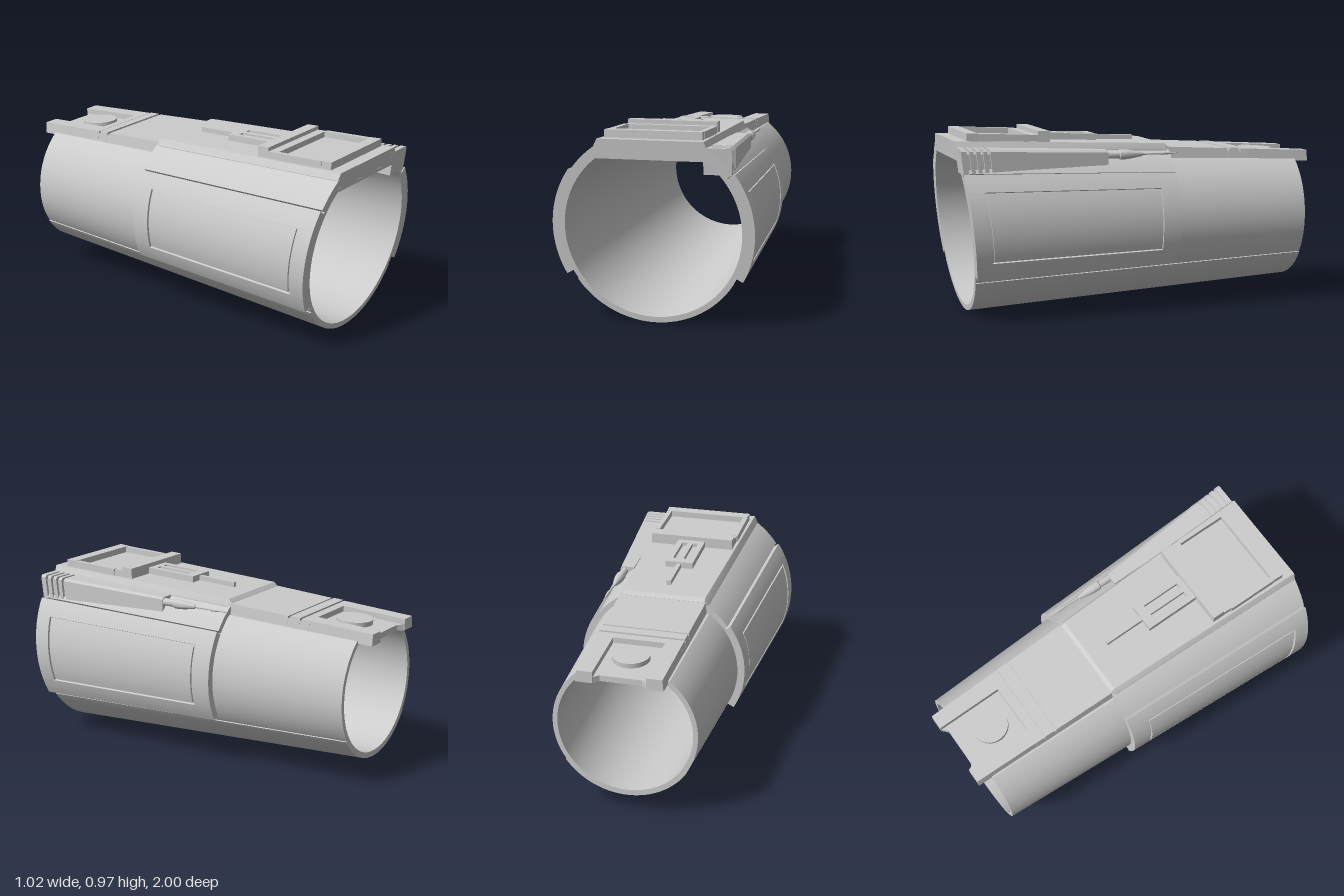
import * as THREE from 'three';
import { toCreasedNormals } from 'three/addons/utils/BufferGeometryUtils.js';

const CY = 0.475, FRONT = 0.953, STEP = -0.17, BACK = -0.92;
const lerp = THREE.MathUtils.lerp;
const material = new THREE.MeshStandardMaterial({ color: 0xcccccc });

// Skin a row of equal convex loops; capped at the ends unless closed into a ring
function loft(sections, closed = false) {
  const tris = [], n = sections[0].length, m = sections.length;
  for (let i = 0; i < (closed ? m : m - 1); i++) {
    const a = sections[i], b = sections[(i + 1) % m];
    for (let j = 0; j < n; j++) {
      const k = (j + 1) % n;
      tris.push([a[j], a[k], b[k]], [a[j], b[k], b[j]]);
    }
  }
  if (!closed) {
    const a = sections[0], b = sections[m - 1];
    for (let j = 1; j < n - 1; j++) tris.push([a[0], a[j + 1], a[j]], [b[0], b[j], b[j + 1]]);
  }
  // Turn the faces outwards
  let volume = 0;
  const [p, q, r] = [new THREE.Vector3(), new THREE.Vector3(), new THREE.Vector3()];
  for (const t of tris) volume += p.fromArray(t[0]).dot(q.fromArray(t[1]).cross(r.fromArray(t[2])));
  if (volume < 0) tris.forEach(t => t.reverse());
  const geo = new THREE.BufferGeometry();
  geo.setAttribute('position', new THREE.Float32BufferAttribute(tris.flat(2), 3));
  return toCreasedNormals(geo, 0.45);
}

// Point on the tapered tube; angle runs from straight up, the front end leans forward
const along = z => (z - BACK) / (FRONT - BACK);
function onTube(angle, z, r, side = 1) {
  const y = CY + r * Math.cos(angle);
  const lean = Math.max(0, (z - STEP) / (FRONT - STEP)) * 0.1;
  return [side * r * Math.sin(angle), y, z + (y - CY) * lean];
}
const outerR = z => lerp(0.375, 0.471, along(z));
const innerR = z => lerp(0.35, 0.447, along(z));

// Curved plate on the tube between two angles and two depths
function shell(a0, a1, z0, z1, lift, side, base = -0.01) {
  const sections = [], n = Math.max(2, Math.ceil((a1 - a0) / 0.05));
  for (let i = 0; i <= n; i++) {
    const a = lerp(a0, a1, i / n);
    sections.push([[z0, lift], [z1, lift], [z1, base], [z0, base]]
      .map(([z, o]) => onTube(a, z, outerR(z) + o, side)));
  }
  return loft(sections);
}

// Top surfaces of the two deck plates, and the tube's flat roof below them
const deckY = z => 0.886 + 0.039 * z;
const tailY = z => 0.869 + 0.054 * z;
const roofY = z => 0.758 + 0.0406 * (z - BACK);

// Block lying on a sloped surface: half width w0 at z0 and w1 at z1
function slab(surface, cx, w0, w1, z0, z1, lo, hi) {
  return loft([[z0, w0], [z1, w1]].map(([z, w]) => {
    const y = surface(z);
    return [[cx - w, y + lo, z], [cx + w, y + lo, z], [cx + w, y + hi, z], [cx - w, y + hi, z]];
  }));
}

export function createModel() {
  const model = new THREE.Group();
  const group = name => {
    const g = new THREE.Group();
    g.name = name;
    model.add(g);
    return g;
  };
  const add = (parent, name, geo) => {
    const mesh = new THREE.Mesh(geo, material);
    mesh.name = name;
    parent.add(mesh);
    return mesh;
  };

  // Hollow tapered sleeve with a flat roof
  const rings = [], corner = 0.664, N = 120;
  for (let i = 0; i <= N; i++) {
    const a = lerp(corner, Math.PI * 2 - corner, i / N);
    rings.push([
      ...[FRONT, STEP, BACK].map(z => onTube(a, z, outerR(z))),
      ...[BACK, STEP, FRONT].map(z => onTube(a, z, innerR(z)))]);
  }
  add(model, 'sleeve', loft(rings, true));
  add(model, 'lowerShell', shell(2.17, Math.PI * 2 - 2.17, BACK, FRONT, 0.005, 1));

  // Side armour with a grooved frame around a raised panel
  for (const side of [1, -1]) {
    const armour = group(side > 0 ? 'leftArmour' : 'rightArmour');
    add(armour, 'upperShell', shell(0.56, 0.935, STEP, FRONT, 0.028, side));
    const a0 = 0.955, a1 = 2.07, p0 = 1.15, p1 = 1.88, zb = -0.07, zf = 0.87, gap = 0.012;
    add(armour, 'armourBed', shell(a0, a1, STEP, FRONT, 0.026, side));
    add(armour, 'frameTop', shell(a0, p0, STEP, FRONT, 0.039, side));
    add(armour, 'frameBottom', shell(p1, a1, STEP, FRONT, 0.039, side));
    add(armour, 'frameBack', shell(p0, p1, STEP, zb, 0.039, side));
    add(armour, 'frameFront', shell(p0, p1, zf, FRONT, 0.039, side));
    add(armour, 'insetPanel', shell(p0 + 0.022, p1 - 0.022, zb + gap, zf - gap, 0.037, side));
  }

  // Front deck plate with bevelled sides and rear edge
  const deckLoop = (z, wb, wt, yt, lean) => [
    [-wb, roofY(z)], [wb, roofY(z)], [wb, yt - 0.035], [wt, yt], [-wt, yt], [-wb, yt - 0.035],
  ].map(([x, y]) => [x, y, z + lean * (y - 0.925)]);
  add(model, 'deckPlate', loft([
    deckLoop(0.9975, 0.282, 0.265, 0.925, 0.1),
    deckLoop(-0.15, 0.248, 0.228, deckY(-0.15), 0),
    deckLoop(STEP, 0.247, 0.227, 0.861, 0)]));

  // Screen tray and the ridge behind it
  const tray = group('screenTray');
  const bar = (name, ...args) => add(tray, name, slab(deckY, ...args));
  bar('trayFront', 0, 0.242, 0.246, 0.87, 0.93, -0.01, 0.04);
  bar('trayBack', 0, 0.234, 0.236, 0.55, 0.6, -0.01, 0.036);
  for (const s of [1, -1]) bar('traySide', s * 0.23, 0.012, 0.014, 0.6, 0.87, -0.01, 0.038);
  bar('screen', 0, 0.222, 0.222, 0.6, 0.87, -0.01, 0.006);
  bar('ridge', 0, 0.234, 0.235, 0.485, 0.55, -0.01, 0.057);

  // Slotted housing and its thin rod
  const housing = group('slottedHousing');
  const piece = (name, ...args) => add(housing, name, slab(deckY, ...args));
  piece('housingFloor', 0, 0.074, 0.074, 0.19, 0.48, -0.01, 0.012);
  piece('housingBack', 0, 0.077, 0.077, 0.185, 0.235, -0.01, 0.034);
  piece('housingFront', 0, 0.077, 0.077, 0.45, 0.485, -0.01, 0.034);
  for (const [x, w] of [[-0.061, 0.016], [0, 0.014], [0.061, 0.016]])
    piece('housingRail', x, w, w, 0.235, 0.45, -0.01, 0.034);
  piece('rod', 0, 0.012, 0.012, -0.04, 0.185, -0.01, 0.026);

  // Tail plate: grooved strips, then a recess between two rails
  const tail = group('tailPlate');
  const halfW = z => 0.216 + 0.022 * (z + 1);
  const strip = (name, z0, z1, drop) => add(tail, name, loft([z0, z1].map(z => {
    const w = halfW(z), y = tailY(z) - drop;
    return [[-w - 0.008, roofY(z), z], [w + 0.008, roofY(z), z], [w, y, z], [-w, y, z]];
  })));
  strip('tailBase', -0.64, -0.16, 0.012);
  strip('tailStrip', -0.515, -0.16, 0);
  strip('tailStrip', -0.585, -0.53, -0.003);
  strip('tailStrip', -0.64, -0.595, 0);
  add(tail, 'recessFloor', loft([-0.64, -0.97].map(z => {
    const y = tailY(z) - 0.03;
    return [[-0.14, roofY(z), z], [0.14, roofY(z), z], [0.14, y, z], [-0.14, y, z]];
  })));
  for (const s of [1, -1]) {
    add(tail, 'rail', loft([-0.64, -1].map(z => {
      const w = halfW(z), y = tailY(z);
      return [[s * 0.135, roofY(z), z], [s * (w + 0.006), roofY(z), z], [s * w, y, z], [s * 0.135, y, z]];
    })));
    // Angled gusset at the end notch
    add(tail, 'gusset', loft([roofY(-0.98), tailY(-0.98) - 0.03].map(y =>
      [[s * 0.105, y, -0.968], [s * 0.14, y, -0.968], [s * 0.14, y, -0.999]])));
  }
  const button = add(tail, 'roundButton', new THREE.CylinderGeometry(0.095, 0.095, 0.035, 48));
  button.position.set(0, tailY(-0.78) - 0.022, -0.78);
  button.rotation.x = -0.054;

  // Dart launcher on the left shoulder, with grip fins at the front
  const launcher = group('dartLauncher');
  const caseLoop = (z, inset) => {
    const t = (z - 0.2) / 0.79;
    const x = lerp(0.34, 0.402, t) - inset, top = lerp(0.862, 0.896, t) - inset, low = lerp(0.775, 0.765, t);
    return [[0.262, low], [x, low], [x, top - 0.012], [x - 0.012, top], [0.262, top]]
      .map(([px, py]) => [px, py, z + 0.12 * t * (py - 0.88)]);
  };
  const section = (name, z0, z1, inset) => add(launcher, name, loft([caseLoop(z0, inset), caseLoop(z1, inset)]));
  section('launcherCase', 0.2, 0.84, 0);
  section('gripCore', 0.84, 0.98, 0.014);
  for (let i = 0; i < 4; i++) section('gripFin', 0.856 + i * 0.036, i === 3 ? 0.993 : 0.877 + i * 0.036, 0);

  // Nozzle and dart, turned along the depth axis
  const dart = add(launcher, 'dart', toCreasedNormals(new THREE.LatheGeometry([
    [0, 0], [0.02, 0], [0.02, 0.07], [0.026, 0.075], [0.026, 0.11], [0.021, 0.15], [0.011, 0.2],
    [0.006, 0.205], [0.005, 0.29], [0.009, 0.31], [0.007, 0.35], [0, 0.41],
  ].map(([r, h]) => new THREE.Vector2(r, h)), 20), 0.5));
  dart.rotation.x = -Math.PI / 2;
  dart.position.set(0.317, 0.835, 0.205);

  return model;
}
